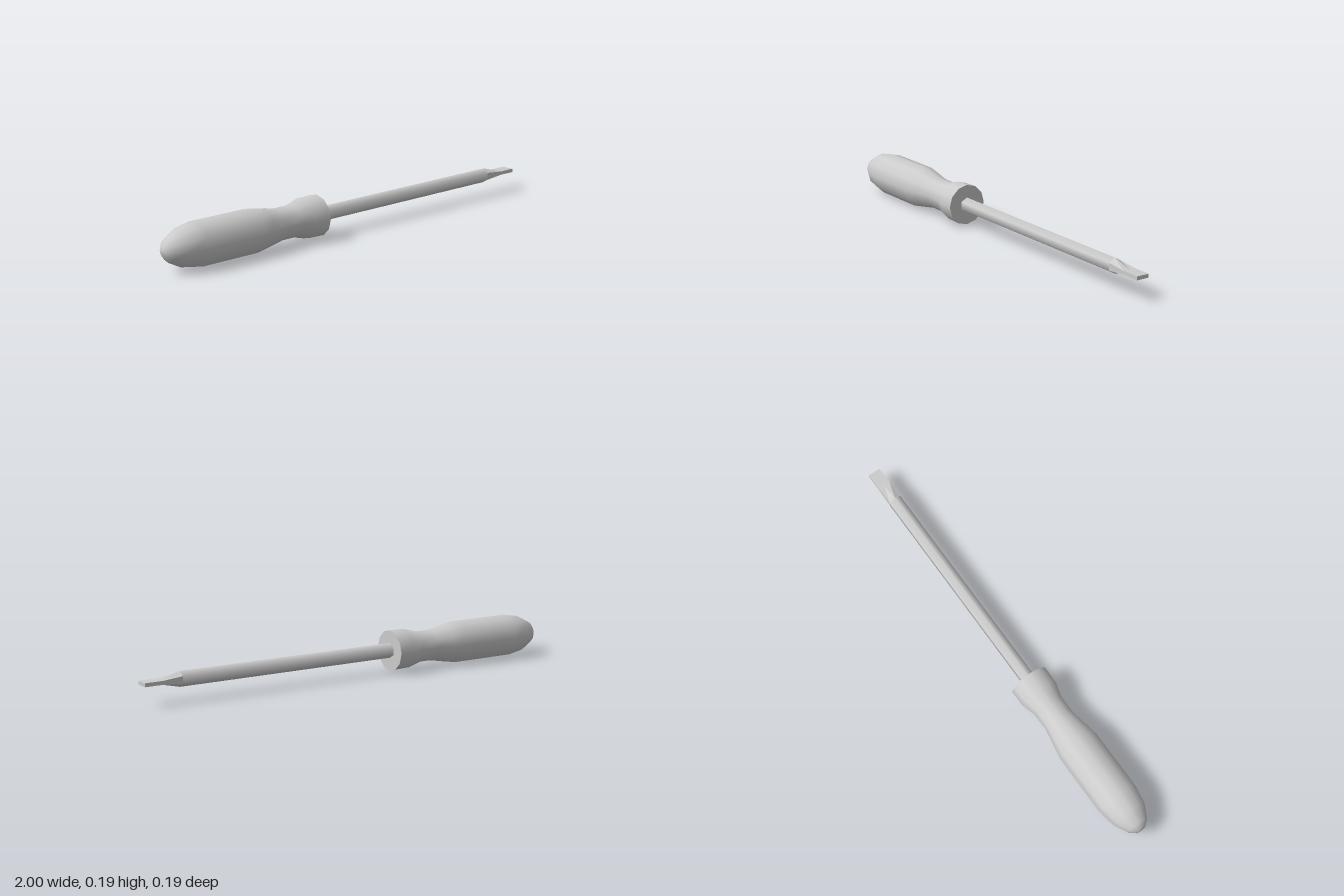
import * as THREE from 'three';
import { toCreasedNormals } from 'three/addons/utils/BufferGeometryUtils.js';

const AXIS_Y = 0.095;

export function createModel() {
  const group = new THREE.Group();
  group.name = 'screwdriver';
  const material = new THREE.MeshStandardMaterial({ color: 0xcccccc });

  const add = (name, geometry, parent = group) => {
    const mesh = new THREE.Mesh(geometry, material);
    mesh.name = name;
    parent.add(mesh);
    return mesh;
  };

  // Everything lies along x at the height of the handle's axis
  const handle = new THREE.Group();
  handle.name = 'handle';
  const blade = new THREE.Group();
  blade.name = 'blade';
  for (const part of [handle, blade]) {
    part.position.y = AXIS_Y;
    group.add(part);
  }

  // Twelve-sided grip: [x, radius] from the butt to the collar
  const profile = [
    [-1, 0], [-0.998, 0.022], [-0.975, 0.05], [-0.915, 0.081], [-0.835, 0.095],
    [-0.56, 0.095], [-0.49, 0.083], [-0.42, 0.07], [-0.34, 0.07],
    [-0.275, 0.088], [-0.2, 0.09],
  ];
  const grip = new THREE.LatheGeometry(profile.map(([x, r]) => new THREE.Vector2(r, x)), 12);
  grip.rotateZ(-Math.PI / 2);
  add('grip', grip, handle);

  // Flat front face of the collar
  const face = new THREE.CircleGeometry(0.09, 12);
  face.rotateY(Math.PI / 2);
  face.translate(-0.2, 0, 0);
  add('collarFace', face, handle);

  // Hexagonal rod between two x positions, corners at top and bottom
  const hexRod = (x0, x1, rows, open) => {
    const rod = new THREE.CylinderGeometry(0.033, 0.033, x1 - x0, 6, rows, open, Math.PI / 2);
    rod.rotateZ(-Math.PI / 2);
    rod.translate((x0 + x1) / 2, 0, 0);
    return rod;
  };

  add('shaft', hexRod(-0.2, 0.83, 1, true), blade);

  // Chisel tip: the same rod, pressed flat from its middle ring onward
  const tip = hexRod(0.83, 1, 2, false);
  const pos = tip.attributes.position;
  for (let i = 0; i < pos.count; i++) {
    if (pos.getX(i) < 0.84) continue;
    pos.setY(i, THREE.MathUtils.clamp(pos.getY(i), -0.008, 0.008));
    if (pos.getX(i) < 0.95) pos.setX(i, 0.92);
  }
  add('tip', toCreasedNormals(tip, 0.5), blade);

  return group;
}
